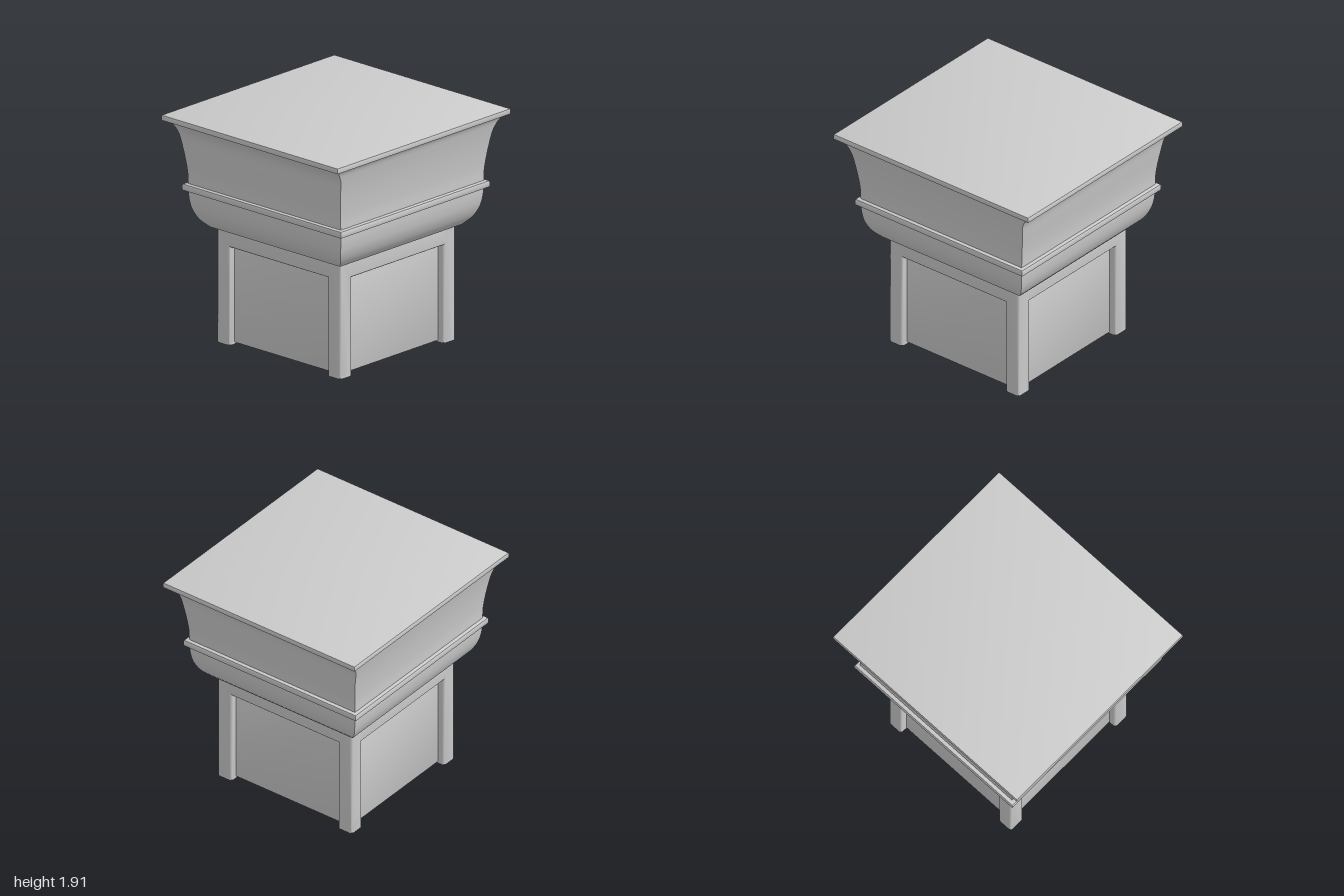
import * as THREE from 'three';
import { toCreasedNormals } from 'three/addons/utils/BufferGeometryUtils.js';

const material = new THREE.MeshStandardMaterial({ color: 0xcccccc });

function addMesh(parent, name, geometry, crease = 0.7) {
  const mesh = new THREE.Mesh(toCreasedNormals(geometry, crease), material);
  mesh.name = name;
  parent.add(mesh);
  return mesh;
}

// Rectangular loft: rows of [half width, y, half depth] from bottom to top, capped at both ends
function loft(rows) {
  const signs = [[1, 1], [1, -1], [-1, -1], [-1, 1]];
  const rings = rows.map(([hx, y, hz]) => signs.map(([sx, sz]) => [sx * hx, y, sz * hz]));
  const pos = [];
  const quad = (a, b, c, d) => pos.push(...a, ...b, ...c, ...a, ...c, ...d);
  for (let r = 0; r < rings.length - 1; r++) {
    for (let i = 0; i < 4; i++) {
      const j = (i + 1) % 4;
      quad(rings[r][i], rings[r][j], rings[r + 1][j], rings[r + 1][i]);
    }
  }
  const [p, q, s, t] = rings[0];
  quad(t, s, q, p);
  quad(...rings[rings.length - 1]);
  const geometry = new THREE.BufferGeometry();
  geometry.setAttribute('position', new THREE.Float32BufferAttribute(pos, 3));
  return geometry;
}

// Smooth profile through a few rows
function smooth(rows, steps) {
  const curve = new THREE.CatmullRomCurve3(rows.map((r) => new THREE.Vector3(...r)));
  return curve.getPoints(steps).map((v) => v.toArray());
}

// Slab with softened edges
function slab(hx, hz, y0, y1, b) {
  const k = b * 0.3;
  return loft([
    [hx - b, y0, hz - b], [hx - k, y0 + k, hz - k], [hx, y0 + b, hz],
    [hx, y1 - b, hz], [hx - k, y1 - k, hz - k], [hx - b, y1, hz - b],
  ]);
}

// Upside-down U frame: two legs and a top rail around a recessed panel
function frameGeometry(half, depth) {
  const inner = 0.53, rail = 0.82, top = 0.99, bevel = 0.02;
  const shape = new THREE.Shape([
    [-half, 0], [-inner, 0], [-inner, rail], [inner, rail],
    [inner, 0], [half, 0], [half, top], [-half, top],
  ].map(([x, y]) => new THREE.Vector2(x, y)));
  const geometry = new THREE.ExtrudeGeometry(shape, {
    depth: depth - 2 * bevel, bevelEnabled: true, bevelThickness: bevel,
    bevelSize: bevel, bevelOffset: -bevel, bevelSegments: 3,
  });
  geometry.translate(0, 0, bevel - depth);
  return geometry;
}

export function createModel() {
  const group = new THREE.Group();
  const hx = 0.665, hz = 0.67;

  // Shaft: core whose faces are the recessed panels, framed on all four sides
  const shaft = new THREE.Group();
  shaft.name = 'shaft';
  group.add(shaft);
  addMesh(shaft, 'panelCore', slab(hx - 0.06, hz - 0.06, 0.012, 0.98, 0.008));
  ['front', 'left', 'back', 'right'].forEach((side, i) => {
    const across = i % 2 === 0;
    const frame = addMesh(shaft, side + 'Frame', frameGeometry(across ? hx : hz, across ? hz - 0.53 : hx - 0.53));
    frame.rotation.y = i * Math.PI / 2;
    frame.position.set([0, hx, 0, -hx][i], 0, [hz, 0, -hz, 0][i]);
  });

  // Rounded lower moulding
  addMesh(group, 'lowerMoulding', loft(smooth([
    [0.705, 0.963, 0.705], [0.765, 1.03, 0.765], [0.803, 1.11, 0.803],
    [0.82, 1.19, 0.82], [0.827, 1.28, 0.827],
  ], 20)));

  // Narrow band
  addMesh(group, 'band', slab(0.86, 0.86, 1.268, 1.328, 0.014));

  // Flared upper moulding
  addMesh(group, 'flare', loft(smooth([
    [0.826, 1.31, 0.826], [0.831, 1.43, 0.829], [0.857, 1.62, 0.852],
    [0.883, 1.76, 0.88], [0.925, 1.83, 0.9], [0.965, 1.87, 0.928],
  ], 28)));

  // Top plate
  addMesh(group, 'topPlate', slab(1, 0.955, 1.867, 1.915, 0.008));

  return group;
}
